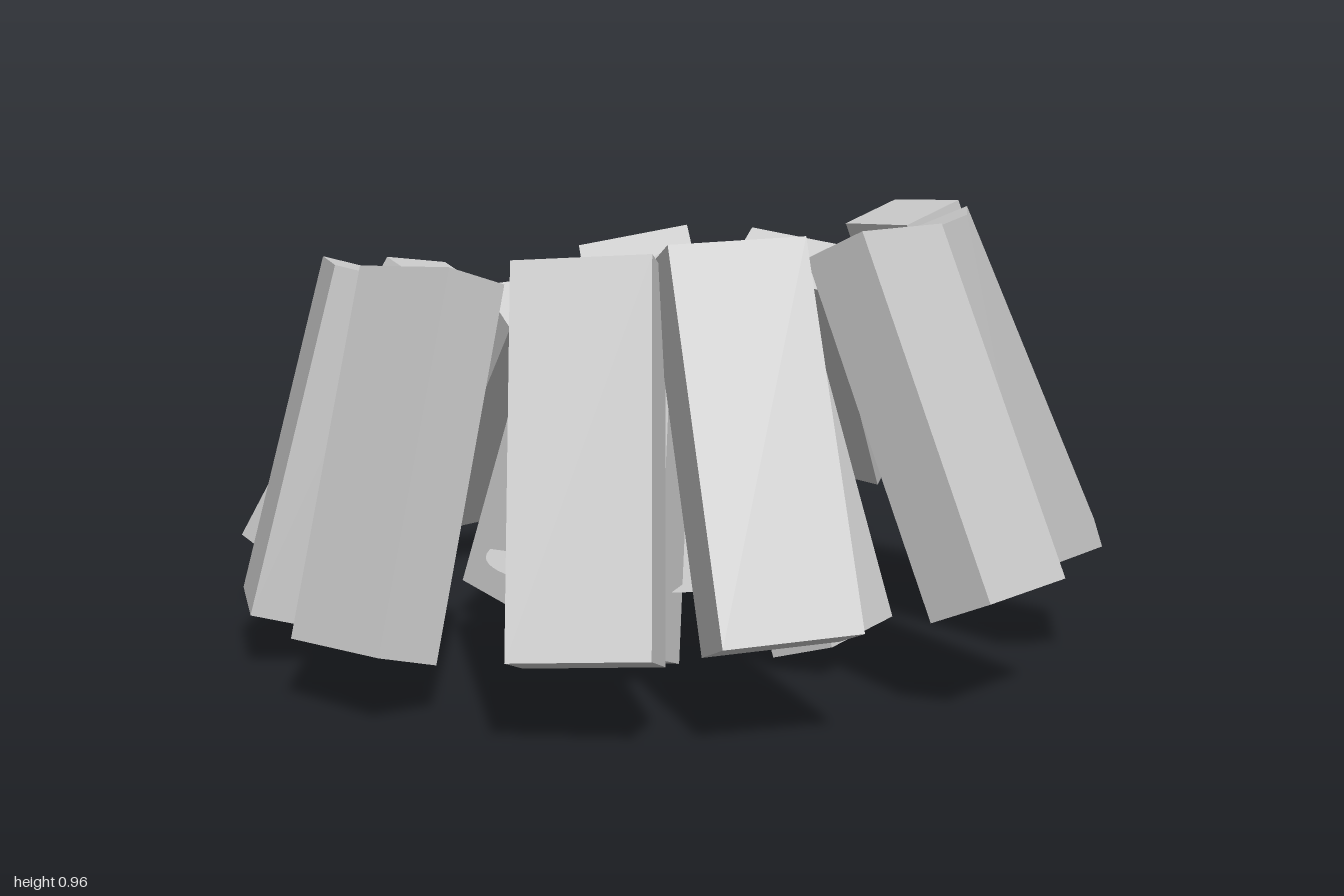
import * as THREE from 'three';

const LENGTH = 0.75, WIDTH = 0.27, DEPTH = 0.146;

// Each slab: x, y, z of the middle of its outer bottom edge,
// then how far it leans in x and z, then the plan direction of its width.
const OUTER = [
  [0.10, 0.295, -0.995, -0.126, 0.475, 50, 2],
  [0.577, 0.32, -0.833, -0.207, 0.473, 42, 27],
  [0.90, 0.262, -0.278, -0.265, 0.077, 18, 47],
  [0.93, 0.265, 0.26, -0.29, -0.05, -11, 50],
  [0.661, 0.25, 0.728, -0.217, -0.209, -36, 35],
  [0.175, 0.22, 0.963, -0.08, -0.243, -50, 10],
  [-0.214, 0.185, 0.947, 0.018, -0.243, -50, -12],
  [-0.672, 0.145, 0.661, 0.138, -0.164, -34, -37],
  [-0.897, 0.125, 0.175, 0.188, -0.035, -9, -50],
  [-0.897, 0.17, -0.357, 0.355, 0.10, 23, -45],
  [-0.50, 0.19, -0.86, 0.22, 0.43, 43, -27],
];
const INNER = [
  [0.286, 0.13, -0.267, -0.133, 0.14, 39, 38],
  [0.405, 0.08, 0.357, -0.188, -0.114, -30, 39],
  [-0.164, 0.06, 0.452, 0.05, -0.23, -49, -20],
  [-0.365, 0.10, -0.217, 0.196, 0.154, 30, -42],
];

export function createModel() {
  const model = new THREE.Group();
  const grey = new THREE.MeshStandardMaterial({ color: 0xcccccc, side: THREE.DoubleSide });
  grey.name = 'plain grey';
  const slabShape = new THREE.BoxGeometry(WIDTH, LENGTH, DEPTH);

  // A leaning slab; the width axis is kept square to the lean
  function addSlab(name, [x, y, z, leanX, leanZ, wx, wz]) {
    const rise = Math.sqrt(LENGTH ** 2 - leanX ** 2 - leanZ ** 2);
    const up = new THREE.Vector3(leanX, rise, leanZ).normalize();
    const side = new THREE.Vector3(wx, -(leanX * wx + leanZ * wz) / rise, wz).normalize();
    const outward = new THREE.Vector3().crossVectors(up, side);
    const slab = new THREE.Mesh(slabShape, grey);
    slab.name = name;
    slab.quaternion.setFromRotationMatrix(
      new THREE.Matrix4().makeBasis(side.negate(), up, outward));
    slab.position.set(x, y, z)
      .addScaledVector(up, LENGTH / 2)
      .addScaledVector(outward, -DEPTH / 2);
    model.add(slab);
  }

  OUTER.forEach((row, i) => addSlab(`outerSlab${i + 1}`, row));
  INNER.forEach((row, i) => addSlab(`innerSlab${i + 1}`, row));

  // Flat disc in the middle
  const disc = new THREE.Mesh(new THREE.CircleGeometry(0.373, 64), grey);
  disc.name = 'centreDisc';
  disc.rotation.x = -Math.PI / 2;
  disc.position.set(-0.015, 0.18, 0.025);
  model.add(disc);

  return model;
}
